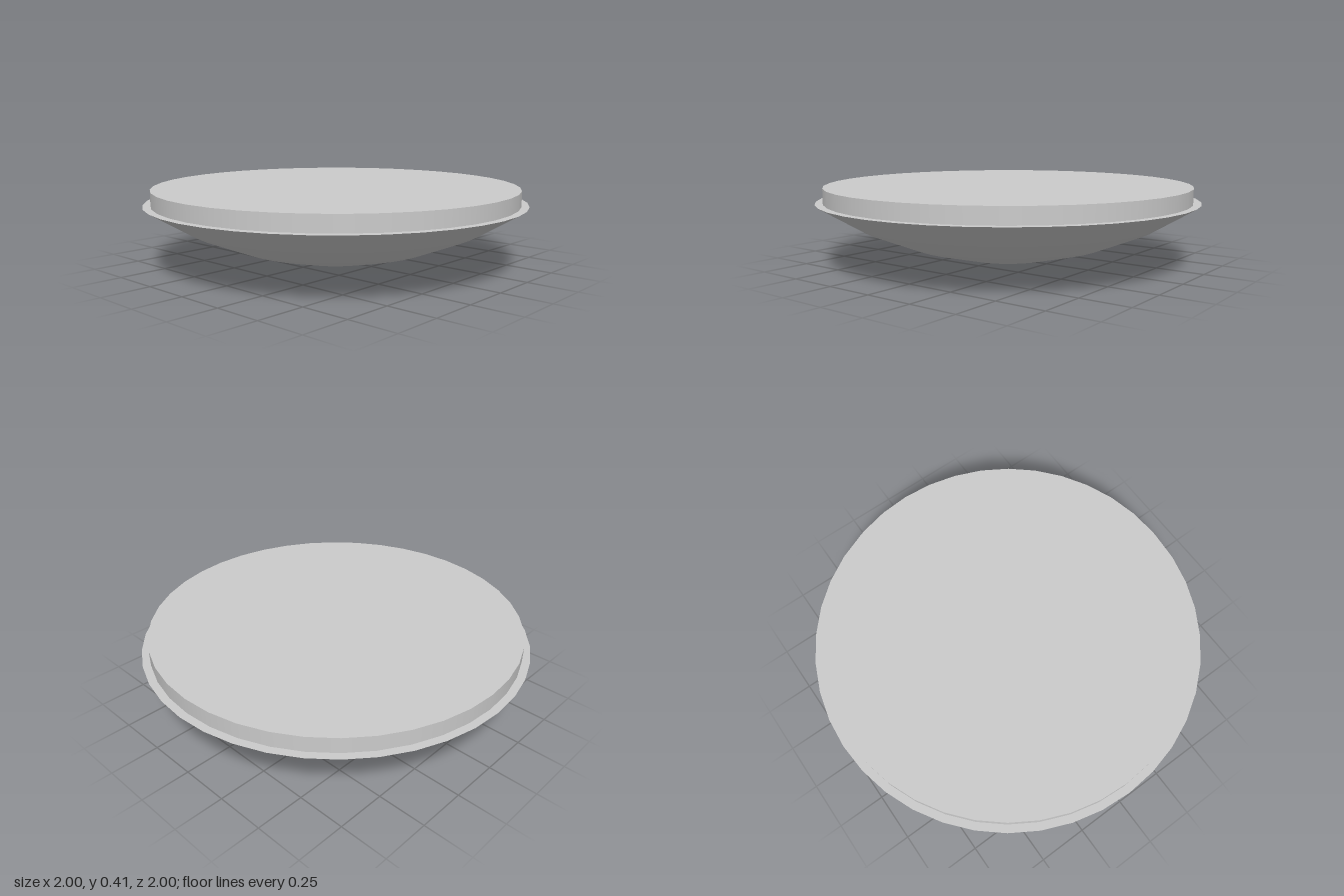
import * as THREE from 'three';

const SIDES = 40;
const RIM_R = 1, DISC_R = 0.96;
const RIM_Y = 0.325, TOP_Y = 0.405;

export function createModel() {
  const model = new THREE.Group();
  const grey = new THREE.MeshStandardMaterial({ color: 0xcccccc });

  const add = (name, geometry, y = 0) => {
    const mesh = new THREE.Mesh(geometry, grey);
    mesh.name = name;
    mesh.position.y = y;
    model.add(mesh);
  };

  // shallow rounded underside, a spherical cap in four bands
  const profile = [[0, 0], [0.267, 0.024], [0.527, 0.09], [0.774, 0.19], [RIM_R, RIM_Y]]
    .map(([r, y]) => new THREE.Vector2(r, y));
  add('bowl', new THREE.LatheGeometry(profile, SIDES));

  // narrow flat ledge around the top of the bowl
  add('rimLedge', new THREE.RingGeometry(DISC_R, RIM_R, SIDES).rotateX(-Math.PI / 2), RIM_Y);

  // upright band above the ledge
  const height = TOP_Y - RIM_Y;
  add('sideBand', new THREE.CylinderGeometry(DISC_R, DISC_R, height, SIDES, 1, true), RIM_Y + height / 2);

  // flat top
  add('topDisc', new THREE.CircleGeometry(DISC_R, SIDES).rotateX(-Math.PI / 2), TOP_Y);

  return model;
}
